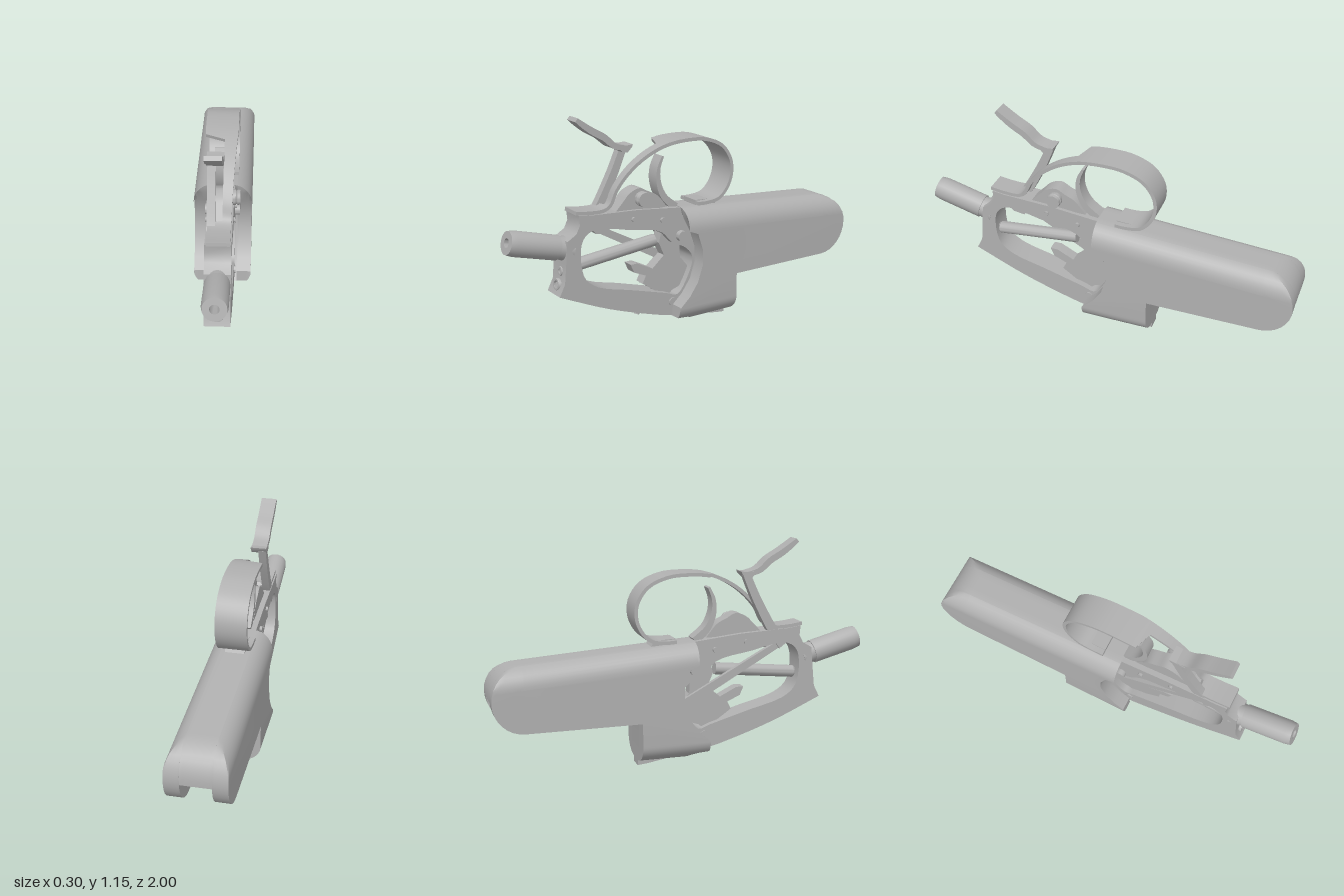
import * as THREE from 'three';
import { toCreasedNormals } from 'three/addons/utils/BufferGeometryUtils.js';

const steel = new THREE.MeshStandardMaterial({ color: 0xb0b0b0, side: THREE.DoubleSide });
steel.name = 'grey steel';

// Joins equal-length rings [x, y, z] into a closed solid
function loft(rings, caps = [[0, 1, 2], [0, 2, 3]]) {
  const n = rings[0].length, last = (rings.length - 1) * n, idx = [];
  for (let i = 0; i < rings.length - 1; i++) {
    for (let j = 0; j < n; j++) {
      const a = i * n + j, b = i * n + (j + 1) % n;
      idx.push(a, b, b + n, a, b + n, a + n);
    }
  }
  for (const [a, b, c] of caps) idx.push(a, c, b, last + a, last + b, last + c);
  const p = rings.flat();
  let volume = 0;
  for (let i = 0; i < idx.length; i += 3) {
    const [a, b, c] = [0, 1, 2].map(k => new THREE.Vector3(...p[idx[i + k]]));
    volume += a.dot(b.cross(c));
  }
  if (volume < 0) idx.reverse();
  const g = new THREE.BufferGeometry();
  g.setAttribute('position', new THREE.Float32BufferAttribute(p.flat(), 3));
  g.setIndex(idx);
  return toCreasedNormals(g.toNonIndexed(), 0.6);
}

// Side profile of [z, y] points swept through x, reshaped by rule(x, z, y)
function sweepX(profile, xs, rule) {
  const pts = profile.map(([z, y]) => new THREE.Vector2(z, y));
  const caps = THREE.ShapeUtils.triangulateShape(pts, []);
  return loft(xs.map(x => profile.map(([z, y]) => [x, rule(x, z, y), z])), caps);
}

// Plate cut from a side profile, from x0 to x1, with optional holes
function plate(outline, x0, x1, holes = []) {
  const vec = list => list.map(([z, y]) => new THREE.Vector2(z, y));
  const s = new THREE.Shape(vec(outline));
  holes.forEach(h => s.holes.push(new THREE.Path(vec(h))));
  const g = new THREE.ExtrudeGeometry(s, { depth: x1 - x0, bevelEnabled: false });
  g.rotateY(-Math.PI / 2).translate(x1, 0, 0);
  return toCreasedNormals(g, 0.6);
}

// Rounds a list of [z, y] points into a curve
function smooth(points, count, closed = false) {
  const c = new THREE.CatmullRomCurve3(points.map(([z, y]) => new THREE.Vector3(0, y, z)), closed, 'centripetal');
  return c.getPoints(count).slice(0, closed ? count : count + 1).map(v => [v.z, v.y]);
}

// Flat strip along a [z, y] path; span(t, z) gives its x range, thick(t) its thickness
function strip(path, count, span, thick) {
  const pts = smooth(path, count);
  return loft(pts.map(([z, y], i) => {
    const a = pts[Math.max(i - 1, 0)], b = pts[Math.min(i + 1, pts.length - 1)];
    const len = Math.hypot(b[0] - a[0], b[1] - a[1]), t = i / (pts.length - 1);
    const h = thick(t) / 2, nz = -(b[1] - a[1]) / len * h, ny = (b[0] - a[0]) / len * h;
    const [x0, x1] = span(t, z);
    return [[x0, y + ny, z + nz], [x1, y + ny, z + nz], [x1, y - ny, z - nz], [x0, y - ny, z - nz]];
  }));
}

// Turned part between two points; profile is [radius, fraction of length]
function turned(profile, from, to) {
  const a = new THREE.Vector3(...from), d = new THREE.Vector3(...to).sub(a), len = d.length();
  const g = new THREE.LatheGeometry(profile.map(([r, t]) => new THREE.Vector2(r, t * len)), 24);
  g.applyQuaternion(new THREE.Quaternion().setFromUnitVectors(new THREE.Vector3(0, 1, 0), d.normalize()));
  return toCreasedNormals(g.translate(a.x, a.y, a.z), 0.6);
}
const rod = (r, from, to) => turned([[0, 0], [r, 0], [r, 1], [0, 1]], from, to);
const tube = (r, bore, from, to) =>
  turned([[0, 0], [r, 0], [r, 0.88], [r * 0.92, 1], [bore, 1], [bore, 0.4], [0, 0.4]], from, to);

export function createModel() {
  const model = new THREE.Group();
  const add = (name, geometry) => {
    const m = new THREE.Mesh(geometry, steel);
    m.name = name;
    model.add(m);
  };

  // Housing: rounded top, round rear end, belly in front of the step
  const round = (x, start, h) => {
    const u = Math.min(1, Math.max(0, (Math.abs(x) - start) / (0.15 - start)));
    return h * (1 - Math.sqrt(1 - u * u));
  };
  const rule = (x, z, y) => Math.max(
    Math.min(y, 0.64 - 0.0714 * (0.05 - z) - round(x, 0.05, 0.11)), 0.03 + round(x, 0.035, 0.095));
  const arc = (from, to, n) => Array.from({ length: n + 1 }, (_, i) => {
    const a = from + (to - from) * i / n;
    return [-0.84 - 0.16 * Math.sin(a), 0.412 + 0.163 * Math.cos(a)];
  });
  const belly = [[-0.25, 0.25], [-0.25, 0.03], [0, 0.035]];
  const sideProfile = [[0.05, 0.64], ...arc(0, Math.PI, 16), ...belly,
    [0.11, 0.07], [0.105, 0.13], [0.05, 0.18], [0, 0.25], [-0.03, 0.34], [-0.03, 0.42], [0, 0.51], [0.04, 0.585]];
  const roofProfile = [[0.05, 0.64], ...arc(0, 1.65, 9), [-0.94, 0.41], [-0.88, 0.5], [-0.27, 0.5],
    ...belly, [0.1, 0.06], [0.06, 0.1], [-0.04, 0.25], [-0.04, 0.5], [0.04, 0.6]];
  const wallX = [0.075, 0.085, 0.1, 0.115, 0.128, 0.138, 0.145, 0.149, 0.15];
  add('leftHousingWall', sweepX(sideProfile, wallX, rule));
  add('rightHousingWall', sweepX(sideProfile, wallX.map(x => -x), rule));
  add('housingRoof', sweepX(roofProfile, [-0.075, -0.06, -0.035, 0.035, 0.06, 0.075], rule));
  add('housingCrossBlock', plate([[-0.72, 0.52], [-0.72, 0.4], [-0.66, 0.4], [-0.66, 0.52]], -0.08, 0.08));
  add('bellyCatch', plate([[0.06, 0.05], [-0.25, 0.05], [-0.25, 0], [-0.2, 0.005]], -0.037, 0.037));

  // Open frame with its rounded window
  const bottom = smooth([[-0.1, 0.045], [0.1, 0.065], [0.3, 0.12], [0.5, 0.19], [0.75, 0.3]], 14);
  const frame = [...bottom, [0.72, 0.36], [0.71, 0.46], [0.7, 0.57], [0.65, 0.6], [0.63, 0.64],
    [0.635, 0.69], [0.57, 0.68], [0.3, 0.665], [0, 0.632], [-0.1, 0.625]];
  const opening = smooth([[0.63, 0.5], [0.61, 0.57], [0.55, 0.605], [0.35, 0.57], [0.17, 0.53], [0.1, 0.46],
    [0.02, 0.42], [-0.025, 0.36], [0.01, 0.25], [0.07, 0.175], [0.14, 0.195], [0.35, 0.255], [0.54, 0.31], [0.61, 0.37]], 48, true);
  add('frame', plate(frame, -0.063, 0.063, [opening]));

  // Muzzle tube, its neck and the two sockets below it
  add('barrel', tube(0.062, 0.023, [0, 0.532, 0.73], [0, 0.601, 0.985]));
  add('barrelNeck', turned([[0, 0], [0.066, 0], [0.056, 0.5], [0.06, 1], [0, 1]], [0, 0.515, 0.66], [0, 0.545, 0.78]));
  add('lowerSocket', tube(0.031, 0.02, [0, 0.34, 0.69], [0, 0.346, 0.737]));
  add('upperSocket', tube(0.024, 0.012, [0.01, 0.41, 0.68], [0.01, 0.415, 0.72]));

  // Finger guard: wide loop, half cut away beside the lever
  const guard = [[0.645, 0.7], [0.57, 0.69], [0.49, 0.69], [0.455, 0.71], [0.42, 0.78], [0.35, 0.86], [0.25, 0.93], [0.13, 0.975],
    [0, 0.985], [-0.1, 0.975], [-0.2, 0.93], [-0.255, 0.85], [-0.26, 0.77], [-0.23, 0.7], [-0.18, 0.655], [-0.11, 0.643], [-0.05, 0.645]];
  add('fingerGuard', strip(guard, 64, (t, z) => {
    const w = THREE.MathUtils.clamp(0.08 - (z - 0.1) * 0.065, 0.056, 0.08);
    return [z > 0.15 && z < 0.47 ? 0.015 : -w, w];
  }, () => 0.018));
  add('guardFoot', plate([[-0.05, 0.63], [-0.05, 0.658], [-0.16, 0.652], [-0.18, 0.62]], -0.05, 0.05));

  // Trigger
  add('trigger', strip([[0.135, 0.91], [0.16, 0.85], [0.162, 0.78], [0.13, 0.7], [0.06, 0.635]], 20,
    () => [-0.035, 0.035], t => 0.012 + 0.03 * t));

  // Lever: slim stem, hooked head and thumb paddle
  add('leverStem', strip([[0.54, 0.59], [0.47, 0.69], [0.42, 0.78], [0.375, 0.87], [0.33, 0.975]], 18,
    () => [-0.06, -0.02], t => 0.055 - 0.015 * t));
  add('leverHead', plate([[0.385, 0.985], [0.36, 0.955], [0.33, 0.95], [0.305, 0.975], [0.3, 0.988], [0.34, 0.985]], -0.064, 0.018));
  add('leverPaddle', strip([[0.33, 0.972], [0.4, 0.99], [0.46, 1.04], [0.52, 1.075], [0.57, 1.11], [0.608, 1.14]], 18,
    () => [-0.062, 0.018], t => 0.022 + 0.012 * Math.sin(t * Math.PI)));

  // Pivot lug with knob
  add('pivotLug', plate(smooth([[0.44, 0.65], [0.38, 0.71], [0.34, 0.75], [0.28, 0.77], [0.23, 0.745],
    [0.18, 0.72], [0.12, 0.65]], 20), -0.035, 0.045));
  add('knob', turned([[0, 0], [0.03, 0], [0.03, 0.45], [0.038, 0.45], [0.038, 0.65], [0.033, 0.7],
    [0.038, 0.78], [0.036, 1], [0, 1]], [0.03, 0.72, 0.28], [0.096, 0.72, 0.28]));

  // Working parts inside the window
  add('springRod', rod(0.032, [0.01, 0.43, 0.62], [0.01, 0.475, 0.18]));
  add('rodTip', turned([[0.012, 0], [0.032, 1], [0, 1]], [0.01, 0.424, 0.66], [0.01, 0.43, 0.62]));
  add('linkBar', plate([[0.56, 0.6], [0.5, 0.605], [-0.03, 0.32], [-0.02, 0.28], [0.08, 0.325]], -0.05, -0.025));
  add('hammer', plate([[0.33, 0.375], [0.29, 0.375], [0.2, 0.33], [0.13, 0.39], [0.16, 0.46], [0.14, 0.54], [0.04, 0.5],
    [0.03, 0.36], [-0.02, 0.3], [0.02, 0.21], [0.08, 0.19], [0.13, 0.15], [0.16, 0.19], [0.26, 0.26], [0.24, 0.3], [0.31, 0.33]], -0.03, 0.03));
  add('searBlock', plate([[0.56, 0.61], [0.53, 0.575], [0.47, 0.565], [0.44, 0.6]], -0.03, 0.04));

  // Cross pins
  for (const [z, y, r, w] of [[0.05, 0.49, 0.028, 0.09], [0.33, 0.622, 0.012, 0.074],
    [0.16, 0.59, 0.014, 0.076], [0.1, 0.14, 0.022, 0.07]]) {
    add('crossPin', rod(r, [-w, y, z], [w, y, z]));
  }
  add('bottomPin', rod(0.014, [0, 0.15, 0.265], [0, 0.093, 0.28]));
  return model;
}
